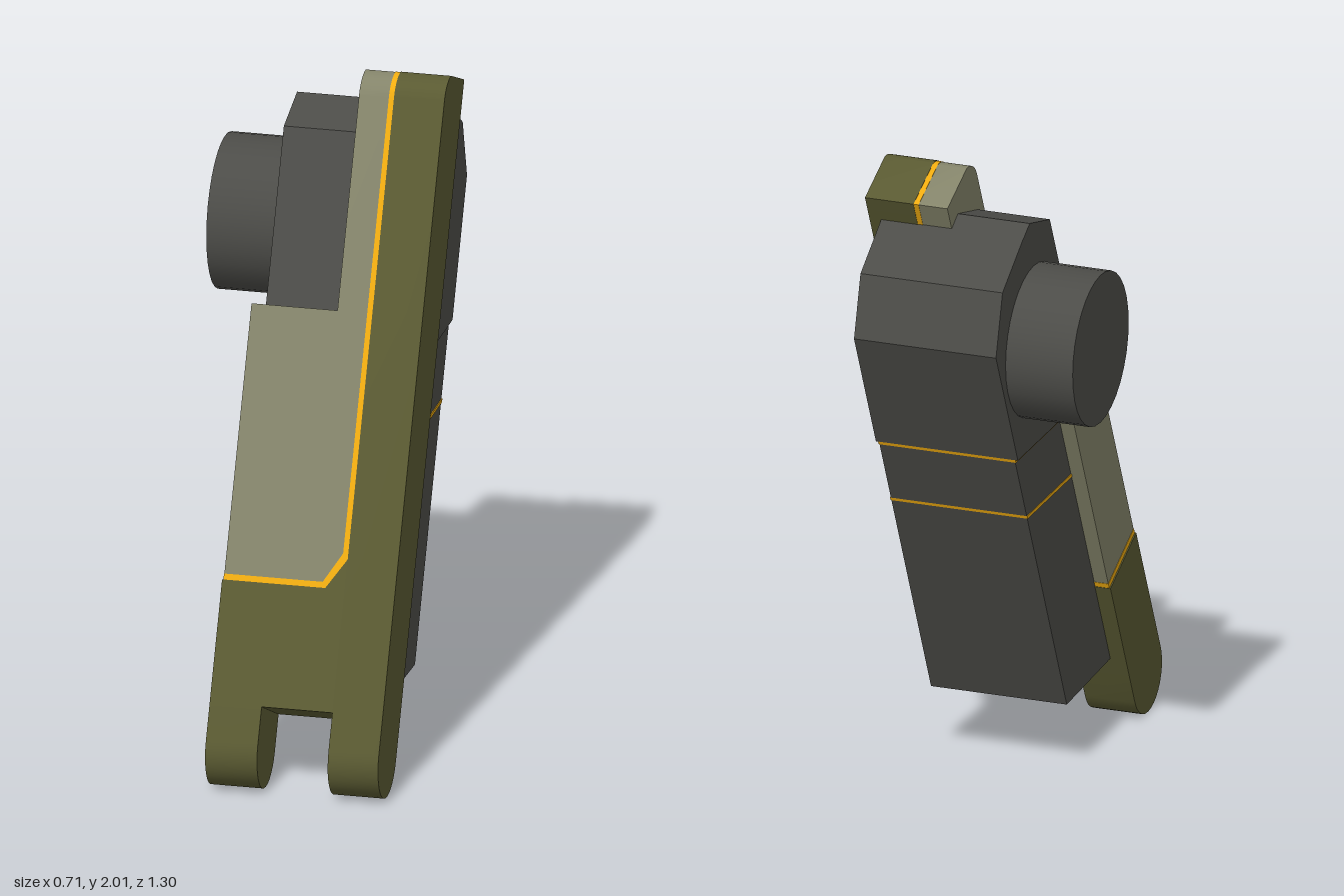
import * as THREE from 'three';
import { toCreasedNormals } from 'three/addons/utils/BufferGeometryUtils.js';

const mat = (color) => new THREE.MeshStandardMaterial({ color });
const olive = mat(0x5a5a32), pale = mat(0x84846a), dark = mat(0x4c4c48), yellow = mat(0xf0ac10);

// plate depth range and ends, in the tilted frame
const BACK = 0.415, FRONT = 0.655, TOP = 1.947, BOTTOM = -0.115, TILT = 0.439;

const shapeOf = (pts) => new THREE.Shape(pts.map(([a, b]) => new THREE.Vector2(a, b)));

function mesh(parent, name, geometry, material) {
  const m = new THREE.Mesh(geometry, material);
  m.name = name;
  parent.add(m);
}

// side outline (z, y) drawn out across x0..x1
function across(shape, x0, x1) {
  const g = new THREE.ExtrudeGeometry(shape, { depth: x1 - x0, bevelEnabled: false, curveSegments: 8 });
  g.rotateY(-Math.PI / 2).translate(x1, 0, 0);
  return toCreasedNormals(g, 0.5);
}

// front outline (x, y) drawn out through the plate thickness
function through(pts, inset = 0) {
  const g = new THREE.ExtrudeGeometry(shapeOf(pts), { depth: FRONT - BACK - 2 * inset, bevelEnabled: false });
  return g.translate(0, 0, BACK + inset);
}

// plate side outline, with optional rounded foot and rounded top front corner
function plateSide(bottom, top, inset = 0) {
  const s = new THREE.Shape();
  const f = FRONT - inset, b = BACK + inset, r = 0.09;
  if (bottom === null) s.absarc((f + b) / 2, BOTTOM, (f - b) / 2, Math.PI, 2 * Math.PI, false);
  else s.moveTo(b, bottom).lineTo(f, bottom);
  if (top === null) {
    s.lineTo(f, TOP - inset - r);
    s.absarc(f - r, TOP - inset - r, r, 0, Math.PI / 2.6, false);
    s.lineTo(b, TOP - inset);
  } else s.lineTo(f, top).lineTo(b, top);
  s.closePath();
  return s;
}

export function createModel() {
  const model = new THREE.Group();
  model.name = 'device';

  // tilted front plate
  const plate = new THREE.Group();
  plate.name = 'plate';
  plate.rotation.x = -TILT;
  model.add(plate);
  mesh(plate, 'plateColumn', across(plateSide(null, null), 0.198, 0.353), olive);
  mesh(plate, 'plateFoot', across(plateSide(null, 0), -0.18, -0.02), olive);
  mesh(plate, 'plateLower', through([[-0.18, 0], [0.198, 0], [0.198, 0.463], [0.138, 0.372], [-0.18, 0.372]]), olive);

  // pale panel with the notch beside its upper arm
  mesh(plate, 'panel', through([[-0.175, 0.39], [0.128, 0.39], [0.182, 0.472], [0.182, 1.206], [-0.175, 1.206]], 0.002), pale);
  mesh(plate, 'panelArm', across(plateSide(1.206, null, 0.002), 0.09, 0.182), pale);

  // yellow seam around the panel
  mesh(plate, 'seamLower', through([[-0.176, 0.372], [0.138, 0.372], [0.198, 0.463], [0.198, 0.48],
    [0.182, 0.48], [0.128, 0.39], [-0.176, 0.39]], 0.001), yellow);
  mesh(plate, 'seamColumn', across(plateSide(0.475, null, 0.001), 0.182, 0.198), yellow);

  // body behind the plate, in three sections split by level seams
  const backZ = (y) => -0.458 + (1.16 - y) * 0.466;
  const frontZ = (y) => (0.418 - 0.425 * y) / 0.905;
  const slab = (y0, y1) => shapeOf([[backZ(y0), y0], [frontZ(y0), y0], [frontZ(y1), y1], [backZ(y1), y1]]);
  mesh(model, 'bodyUpper', across(shapeOf([[backZ(1.164), 1.164], [frontZ(1.164), 1.164], [-0.412, 1.862],
    [-0.59, 1.75], [-0.645, 1.56]]), -0.14, 0.315), dark);
  mesh(model, 'bodyMiddle', across(slab(0.948, 1.154), -0.13, 0.305), dark);
  mesh(model, 'bodyLower', across(shapeOf([[-0.02, 0.22], [0.355, 0.235], [frontZ(0.938), 0.938],
    [backZ(0.938), 0.938]]), -0.13, 0.305), dark);
  for (const y of [0.938, 1.154]) mesh(model, 'bodySeam', across(slab(y, y + 0.01), -0.132, 0.308), yellow);

  // body block filling the notch in the plate
  mesh(model, 'bodyFront', across(shapeOf([[-0.14, 1.268], [0.04, 1.352], [-0.19, 1.842], [-0.36, 1.89],
    [-0.42, 1.856], [-0.42, 1.75]]), -0.14, 0.09), dark);

  // side drum
  const drum = new THREE.CylinderGeometry(0.237, 0.237, 0.225, 32);
  drum.rotateZ(Math.PI / 2).translate(-0.2425, 1.505, -0.327);
  mesh(model, 'sideDrum', drum, dark);

  return model;
}
